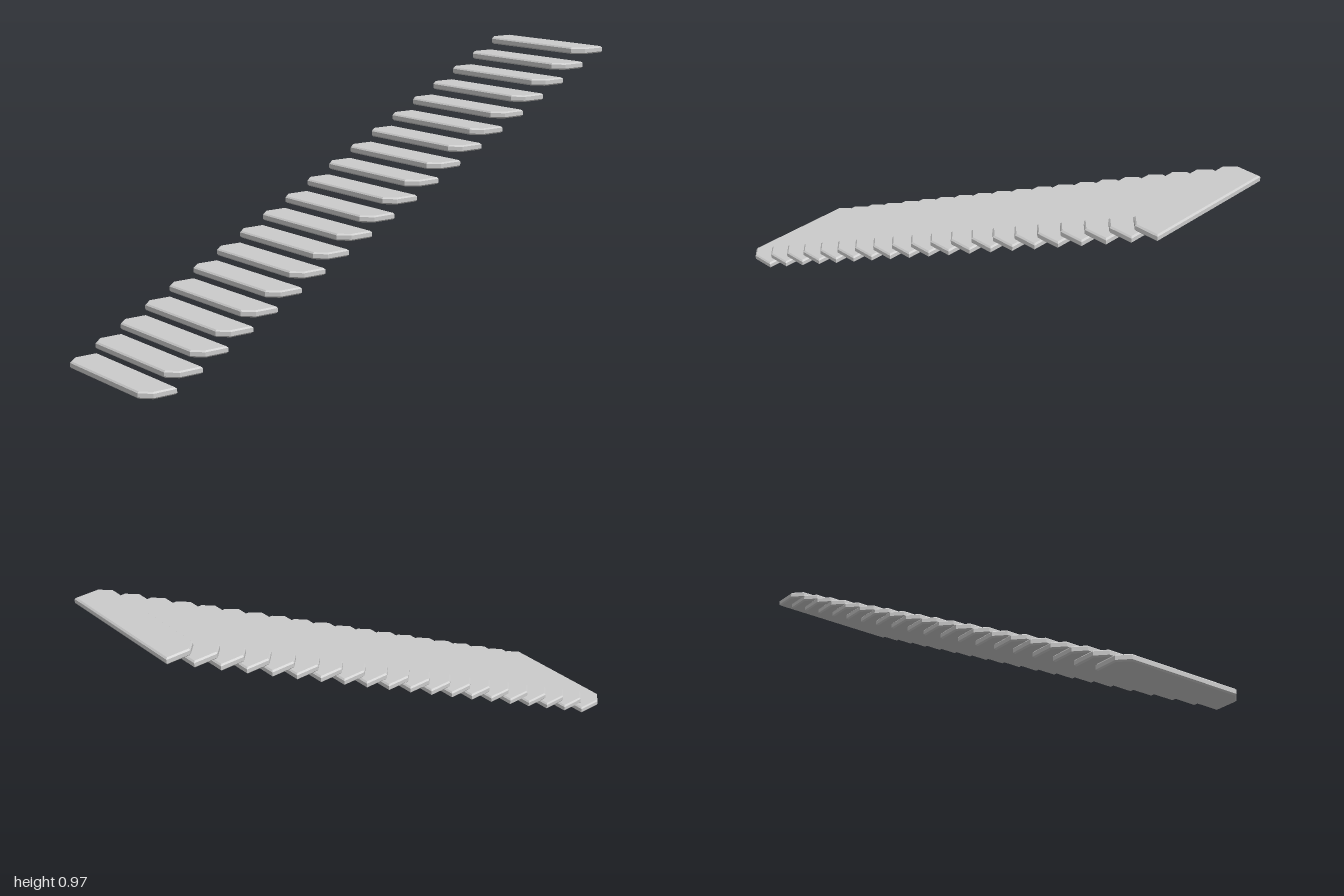
import * as THREE from 'three';

const COUNT = 20, DEPTH = 0.124, HALF = 0.249, THICK = 0.024, RISE = 0.05;
const CHAMFER = 0.033, BEVEL = 0.005;

// Slab with two cut corners on its -x edge and a small bevel all round
function treadGeometry() {
  const x = DEPTH / 2 - BEVEL, z = HALF - BEVEL, c = CHAMFER;
  const outline = new THREE.Shape([
    [x, -z], [x, z], [-x + c, z], [-x, z - c], [-x, -z + c], [-x + c, -z],
  ].map(([a, b]) => new THREE.Vector2(a, b)));
  const geometry = new THREE.ExtrudeGeometry(outline, {
    depth: THICK - 2 * BEVEL,
    bevelEnabled: true,
    bevelSize: BEVEL,
    bevelThickness: BEVEL,
    bevelSegments: 1,
  });
  geometry.rotateX(-Math.PI / 2);
  geometry.translate(0, BEVEL, 0);
  return geometry;
}

export function createModel() {
  const stairs = new THREE.Group();
  stairs.name = 'floatingStairs';
  const geometry = treadGeometry();
  const material = new THREE.MeshStandardMaterial({ color: 0xcccccc, flatShading: true });
  const run = (2 - DEPTH) / (COUNT - 1);

  // Identical treads climbing towards +x
  for (let i = 0; i < COUNT; i++) {
    const tread = new THREE.Mesh(geometry, material);
    tread.name = `tread${i + 1}`;
    tread.position.set(-1 + DEPTH / 2 + i * run, i * RISE, 0);
    stairs.add(tread);
  }
  return stairs;
}
